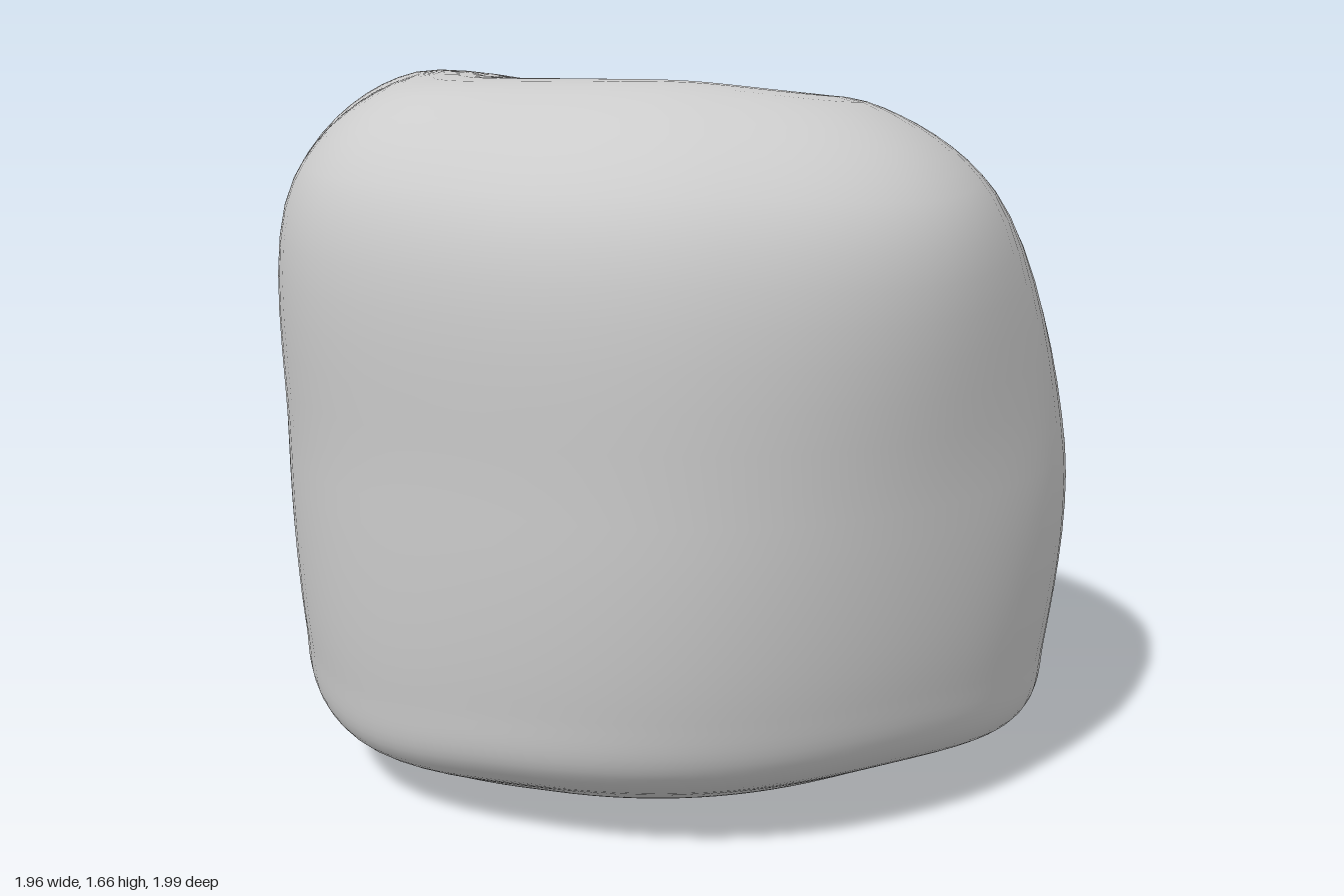
import * as THREE from 'three';

// One profile every 30 degrees, from +x towards +z:
// [base radius, wall foot radius, y, mid-wall radius, rim radius, y, crown radius, y]
const PROFILES = [
  [0.60, 0.92, 0.19, 0.965, 0.76, 1.16, 0.42, 1.435],
  [0.60, 0.92, 0.14, 0.96, 0.75, 1.28, 0.42, 1.51],
  [0.58, 0.92, 0.14, 0.99, 0.82, 1.40, 0.50, 1.59],
  [0.55, 0.89, 0.20, 0.975, 0.955, 1.39, 0.66, 1.615],
  [0.54, 0.88, 0.20, 0.97, 0.92, 1.41, 0.58, 1.65],
  [0.56, 0.88, 0.19, 0.94, 0.90, 1.41, 0.58, 1.65],
  [0.60, 0.91, 0.16, 0.965, 0.945, 1.42, 0.71, 1.64],
  [0.40, 0.89, 0.22, 0.94, 0.90, 1.42, 0.62, 1.65],
  [0.27, 0.89, 0.36, 0.97, 0.95, 1.43, 0.70, 1.63],
  [0.32, 0.92, 0.41, 0.95, 0.975, 1.44, 0.76, 1.57],
  [0.66, 0.94, 0.26, 1.02, 0.96, 1.05, 0.58, 1.385],
  [0.72, 0.94, 0.17, 0.98, 0.87, 1.04, 0.48, 1.325],
];
const MID_Y = 0.8, TOP_Y = 1.58, TOP_R = 0.16;
const SEGMENTS = 96, RINGS = 77;

// Smooth periodic interpolation between neighbouring profiles
function profileAt(t) {
  const n = PROFILES.length, i = Math.floor(t), f = t - i;
  const [a, b, c, d] = [-1, 0, 1, 2].map((k) => PROFILES[(i + k + n) % n]);
  return b.map((v, k) => v + 0.5 * f * (c[k] - a[k]
    + f * (2 * a[k] - 5 * v + 4 * c[k] - d[k] + f * (3 * (v - c[k]) + d[k] - a[k]))));
}

// Rounded outline from the centre of the base to the centre of the tilted top
function outline([rb, rw, yw, rm, rr, yr, rt, yt], angle) {
  const tilt = TOP_R * (0.13 * Math.sin(angle) - 0.25 * Math.cos(angle));
  const points = [
    [0, 0], [rb * 0.6, 0], [rb, 0.012], [(rb + rw) / 2, yw * 0.43], [rw, yw],
    [(rw + rm) / 2 + 0.005, yw + 0.16], [rm, MID_Y], [rr, yr], [rt, yt],
    [TOP_R, TOP_Y + tilt], [0, TOP_Y],
  ];
  return new THREE.CatmullRomCurve3(points.map(([r, y]) => new THREE.Vector3(r, y, 0)), false, 'centripetal');
}

function boulderGeometry() {
  const positions = [0, 0, 0], index = [];
  for (let j = 0; j < SEGMENTS; j++) {
    const angle = (j / SEGMENTS) * Math.PI * 2;
    const curve = outline(profileAt((j / SEGMENTS) * PROFILES.length), angle);
    for (let i = 1; i < RINGS; i++) {
      const p = curve.getPoint(i / RINGS);
      positions.push(p.x * Math.cos(angle), Math.max(0, p.y), p.x * Math.sin(angle));
    }
  }
  const top = positions.length / 3;
  positions.push(0, TOP_Y, 0);

  // Skin the outlines together and close both poles
  const id = (j, i) => 1 + (j % SEGMENTS) * (RINGS - 1) + i;
  for (let j = 0; j < SEGMENTS; j++) {
    index.push(0, id(j, 0), id(j + 1, 0));
    for (let i = 0; i < RINGS - 2; i++) {
      const a = id(j, i), b = id(j, i + 1), c = id(j + 1, i), d = id(j + 1, i + 1);
      index.push(a, b, c, c, b, d);
    }
    index.push(id(j, RINGS - 2), top, id(j + 1, RINGS - 2));
  }
  const geometry = new THREE.BufferGeometry();
  geometry.setAttribute('position', new THREE.Float32BufferAttribute(positions, 3));
  geometry.setIndex(index);
  geometry.computeVertexNormals();
  return geometry;
}

export function createModel() {
  const group = new THREE.Group();
  group.name = 'rock';
  const boulder = new THREE.Mesh(boulderGeometry(), new THREE.MeshStandardMaterial({ color: 0xcccccc }));
  boulder.name = 'boulder';
  group.add(boulder);
  return group;
}
